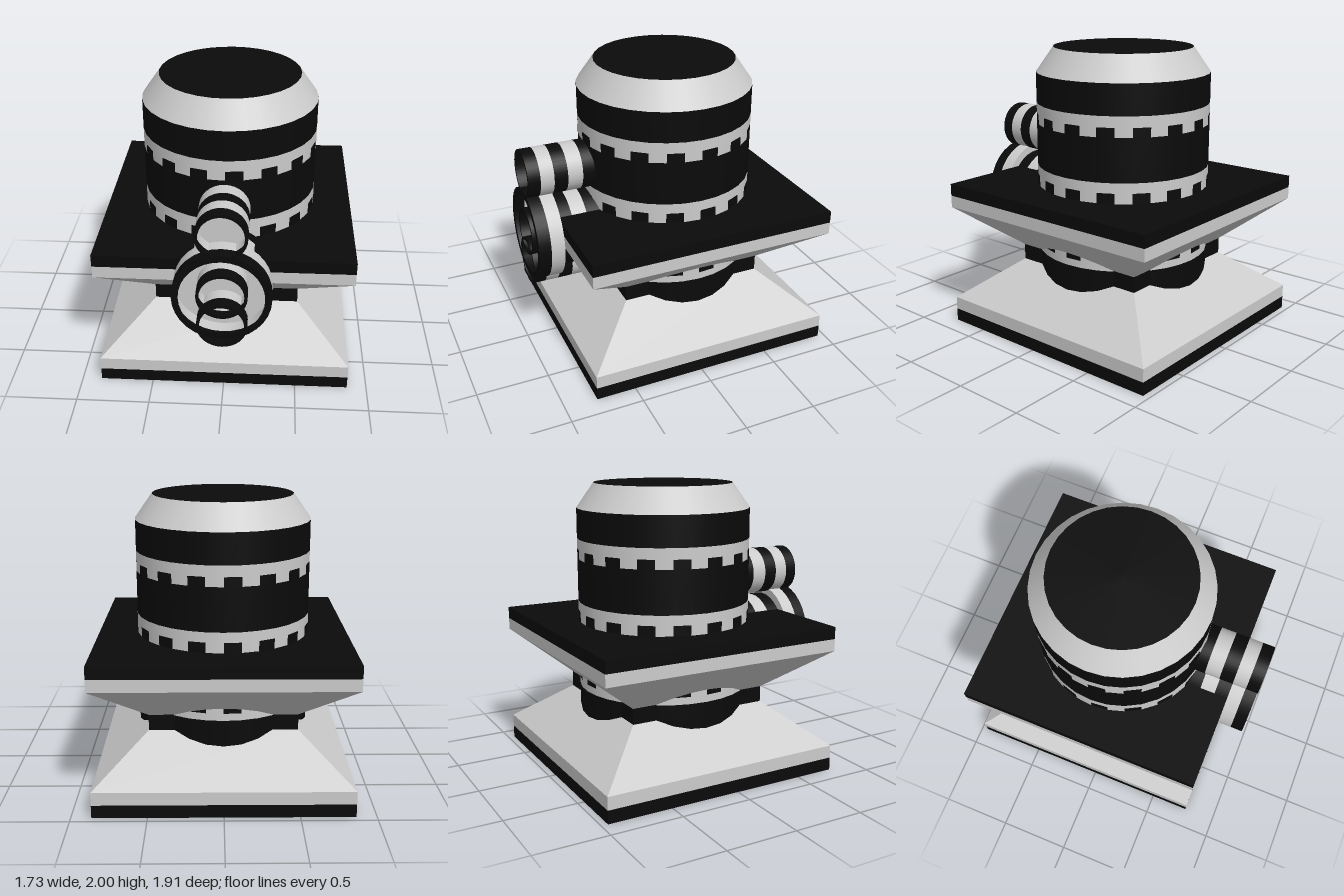
import * as THREE from 'three';

const SIDES = 32;
const STEP = (Math.PI * 2) / SIDES;
const CZ = -0.09; // z of the tower axis

const make = (color, flat) => new THREE.MeshStandardMaterial({ color, flatShading: flat, side: THREE.DoubleSide });
const grey = make(0xcccccc, false);
const black = make(0x0a0a0a, false);
const greyFlat = make(0xcccccc, true);
const blackFlat = make(0x0a0a0a, true);

function add(parent, name, geometry, material) {
  const mesh = new THREE.Mesh(geometry, material);
  mesh.name = name;
  parent.add(mesh);
  return mesh;
}

// Open round wall between two heights
function band(parent, name, y0, y1, r0, r1, material, start = 0, length = Math.PI * 2) {
  const segments = Math.round(length / STEP);
  const g = new THREE.CylinderGeometry(r1, r0, y1 - y0, segments, 1, true, start, length);
  g.translate(0, (y0 + y1) / 2, 0);
  return add(parent, name, g, material);
}

// Open square wall between two heights, given half widths
function square(parent, name, y0, y1, h0, h1, material) {
  const g = new THREE.CylinderGeometry(h1 * Math.SQRT2, h0 * Math.SQRT2, y1 - y0, 4, 1, true);
  g.rotateY(Math.PI / 4);
  g.translate(0, (y0 + y1) / 2, 0);
  return add(parent, name, g, material);
}

// Ring of alternating black and grey blocks
function teeth(parent, y0, y1, r) {
  for (let i = 0; i < SIDES; i++) {
    band(parent, 'tooth', y0, y1, r, r, i % 2 ? grey : black, i * STEP, STEP);
  }
}

// Striped pipe along z; sections are [zBack, zFront, radius, material]
function pipe(parent, name, y, sections, rimInner, rimOuter) {
  const g = new THREE.Group();
  g.name = name;
  for (const [z0, z1, r, material] of sections) {
    band(g, 'pipeBand', z0, z1, r, r, material).geometry.rotateX(Math.PI / 2);
  }
  const rim = add(g, 'pipeRim', new THREE.RingGeometry(rimInner, rimOuter, SIDES), black);
  rim.position.z = 0.955;
  const cap = add(g, 'pipeCap', new THREE.CircleGeometry(rimOuter, SIDES), grey);
  cap.position.z = 0.782;
  g.position.y = y;
  parent.add(g);
}

export function createModel() {
  const model = new THREE.Group();
  model.name = 'tower';

  // Round striped tower
  const drum = new THREE.Group();
  drum.name = 'drum';
  drum.position.z = CZ;
  model.add(drum);
  const R = 0.605;
  const stripes = [
    [0, 0.19, grey], [0.19, 0.57, black], [0.57, 0.62, grey], [0.68, 1.04, black],
    [1.11, 1.18, grey], [1.18, 1.48, black], [1.545, 1.62, grey], [1.62, 1.83, black],
  ];
  for (const [y0, y1, material] of stripes) band(drum, 'drumStripe', y0, y1, R, R, material);
  for (const [y0, y1] of [[0.62, 0.68], [1.04, 1.11], [1.48, 1.545]]) teeth(drum, y0, y1, R);

  // Bevelled roof
  band(drum, 'roofBevel', 1.83, 2, R, 0.485, grey);
  const roof = new THREE.CircleGeometry(0.485, SIDES);
  roof.rotateX(-Math.PI / 2);
  add(drum, 'roofTop', roof, black).position.y = 2;

  // Square skirts and the neck between them
  const skirts = new THREE.Group();
  skirts.name = 'skirts';
  skirts.position.z = CZ;
  model.add(skirts);
  const W = 0.865, N = 0.505;
  square(skirts, 'baseEdge', 0, 0.09, W, W, blackFlat);
  square(skirts, 'baseBand', 0.09, 0.18, W, W, greyFlat);
  square(skirts, 'baseSlope', 0.18, 0.465, W, N, greyFlat);
  square(skirts, 'neck', 0.465, 0.575, N, N, blackFlat);
  square(skirts, 'upperSlope', 0.575, 0.87, N, W, greyFlat);
  square(skirts, 'upperBand', 0.87, 0.955, W, W, greyFlat);
  square(skirts, 'upperEdge', 0.955, 1.04, W, W, blackFlat);
  const deck = new THREE.PlaneGeometry(2 * W, 2 * W);
  deck.rotateX(-Math.PI / 2);
  add(skirts, 'deck', deck, blackFlat).position.y = 1.04;

  // Cluster of striped pipes at the front
  const striped = (front, back) => [
    [0.87, 0.955, front, black], [0.775, 0.87, front, grey], [0.68, 0.775, back, black],
    [0.575, 0.68, back, grey], [0.4, 0.575, back, black],
  ];
  pipe(model, 'largePipe', 0.86, striped(0.325, 0.27), 0.28, 0.325);
  for (const [name, y] of [['upperPipe', 1.315], ['middlePipe', 0.87], ['lowerPipe', 0.64]]) {
    pipe(model, name, y, striped(0.168, 0.168), 0.147, 0.168);
  }
  return model;
}
